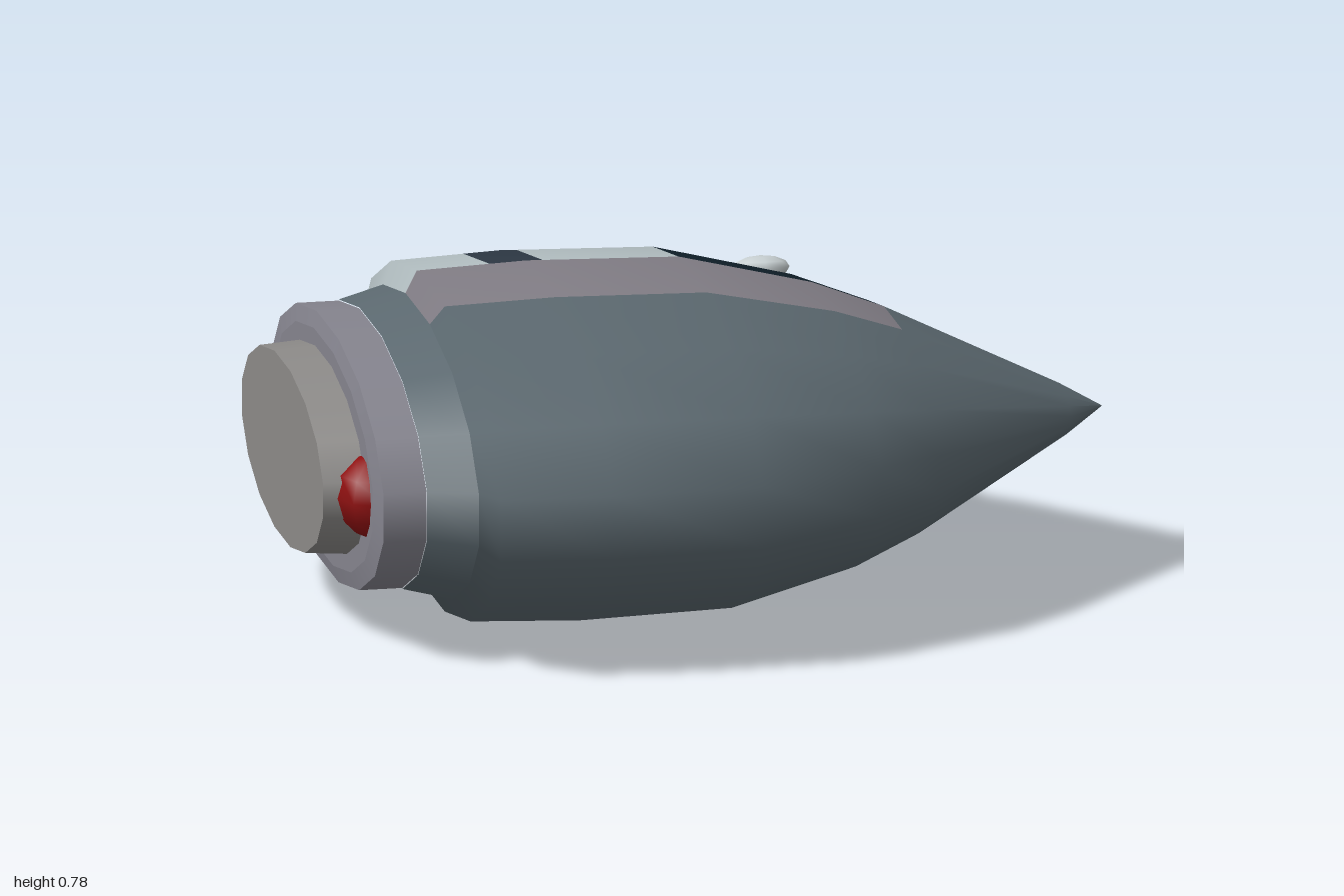
import * as THREE from 'three';

const SIDES = 16, RATIO = 0.448, MID_Y = 0.39;

// Hull outline: [x, half width]
const HULL = [[-0.67, 0.75], [-0.638, 0.86], [-0.37, 0.882], [0, 0.861], [0.32, 0.697], [0.49, 0.556], [0.9, 0.125], [1, 0]];

function hullRadius(x) {
  let i = 1;
  while (i < HULL.length - 1 && x > HULL[i][0]) i++;
  const [x0, r0] = HULL[i - 1], [x1, r1] = HULL[i];
  return r0 + (r1 - r0) * (x - x0) / (x1 - x0);
}

// Skin of elliptical sections along x, covering facets from..to (facet 0 is the top one).
// slopeAt(x) gives smooth normals; without it every station is a crease.
function loft(stations, from, to, slopeAt) {
  const pos = [], nor = [], index = [];
  for (let i = 0; i < stations.length - 1; i++) {
    const base = pos.length / 3, n = to - from + 1;
    const ends = [stations[i], stations[i + 1]];
    for (const [x, r] of ends) {
      const dx = slopeAt ? 1 : ends[1][0] - ends[0][0];
      const dr = slopeAt ? slopeAt(x) : ends[1][1] - ends[0][1];
      for (let j = from; j <= to; j++) {
        const a = Math.PI / 2 + (j - 0.5) * 2 * Math.PI / SIDES;
        pos.push(x, MID_Y + RATIO * r * Math.sin(a), r * Math.cos(a));
        const v = new THREE.Vector3(-dr, dx * Math.sin(a) / RATIO, dx * Math.cos(a)).normalize();
        nor.push(v.x, v.y, v.z);
      }
    }
    for (let j = 0; j < n - 1; j++) {
      const a = base + j, b = a + n;
      index.push(a, b, a + 1, a + 1, b, b + 1);
    }
  }
  const g = new THREE.BufferGeometry();
  g.setAttribute('position', new THREE.Float32BufferAttribute(pos, 3));
  g.setAttribute('normal', new THREE.Float32BufferAttribute(nor, 3));
  g.setIndex(index);
  return g;
}

// Patch of the main hull between two x positions
function hullPatch(x0, x1, from, to) {
  const inner = HULL.filter(([x]) => x > x0 && x < x1);
  const stations = [[x0, hullRadius(x0)], ...inner, [x1, hullRadius(x1)]];
  const slope = x => {
    const a = Math.max(x - 0.06, -0.63), b = Math.min(Math.max(x + 0.06, -0.57), 1);
    return (hullRadius(b) - hullRadius(a)) / (b - a);
  };
  return loft(stations, from, to, slope);
}

export function createModel() {
  const group = new THREE.Group();
  const add = (name, geometry, color, flatShading = false) => {
    const mesh = new THREE.Mesh(geometry, new THREE.MeshStandardMaterial({ color, flatShading }));
    mesh.name = name;
    group.add(mesh);
    return mesh;
  };
  const SLATE = 0x5c6970, MAUVE = 0x827e86, PALE = 0xb4c0c3, NAVY = 0x0f1f29, STRIPE = 0x2d3844;

  // Plain hull: front side and underside, plus the top facet at the nose
  add('hull', hullPatch(-0.67, 1, 8, 16), SLATE);
  add('noseTop', hullPatch(0.49, 1, 0, 1), SLATE);
  add('topPanel', hullPatch(-0.67, 0.49, 0, 1), MAUVE);

  // Painted back side
  add('rearBand', hullPatch(-0.67, -0.46, 1, 8), PALE);
  add('stripe', hullPatch(-0.46, -0.33, 1, 8), STRIPE);
  add('middleBand', hullPatch(-0.33, 0, 1, 8), PALE);
  add('nosePanel', hullPatch(0, 1, 1, 8), NAVY);

  // Stern collar, ring and end block
  add('collar', loft([[-0.785, 0.69], [-0.67, 0.75]], 0, SIDES), SLATE);
  add('sternRing', loft([[-0.9, 0], [-0.9, 0.6], [-0.89, 0.685], [-0.785, 0.685]], 0, SIDES), 0x85848e);
  add('sternBlock', loft([[-1, 0], [-1, 0.496], [-0.89, 0.512]], 0, SIDES), 0x8c8a88);

  // Red stern lamps
  for (const side of [-1, 1]) {
    const lamp = add(side > 0 ? 'lampFront' : 'lampBack', new THREE.SphereGeometry(0.105, 8, 6), 0x8e1010);
    lamp.position.set(-0.865, MID_Y + 0.005, side * 0.48);
  }

  // Small pale dome on the nose panel
  const dome = add('dome', new THREE.SphereGeometry(1, 8, 6), 0xc8d0d2);
  dome.scale.set(0.07, 0.03, 0.07);
  dome.position.set(0.27, 0.637, -0.505);
  dome.rotation.x = -0.22;

  return group;
}
